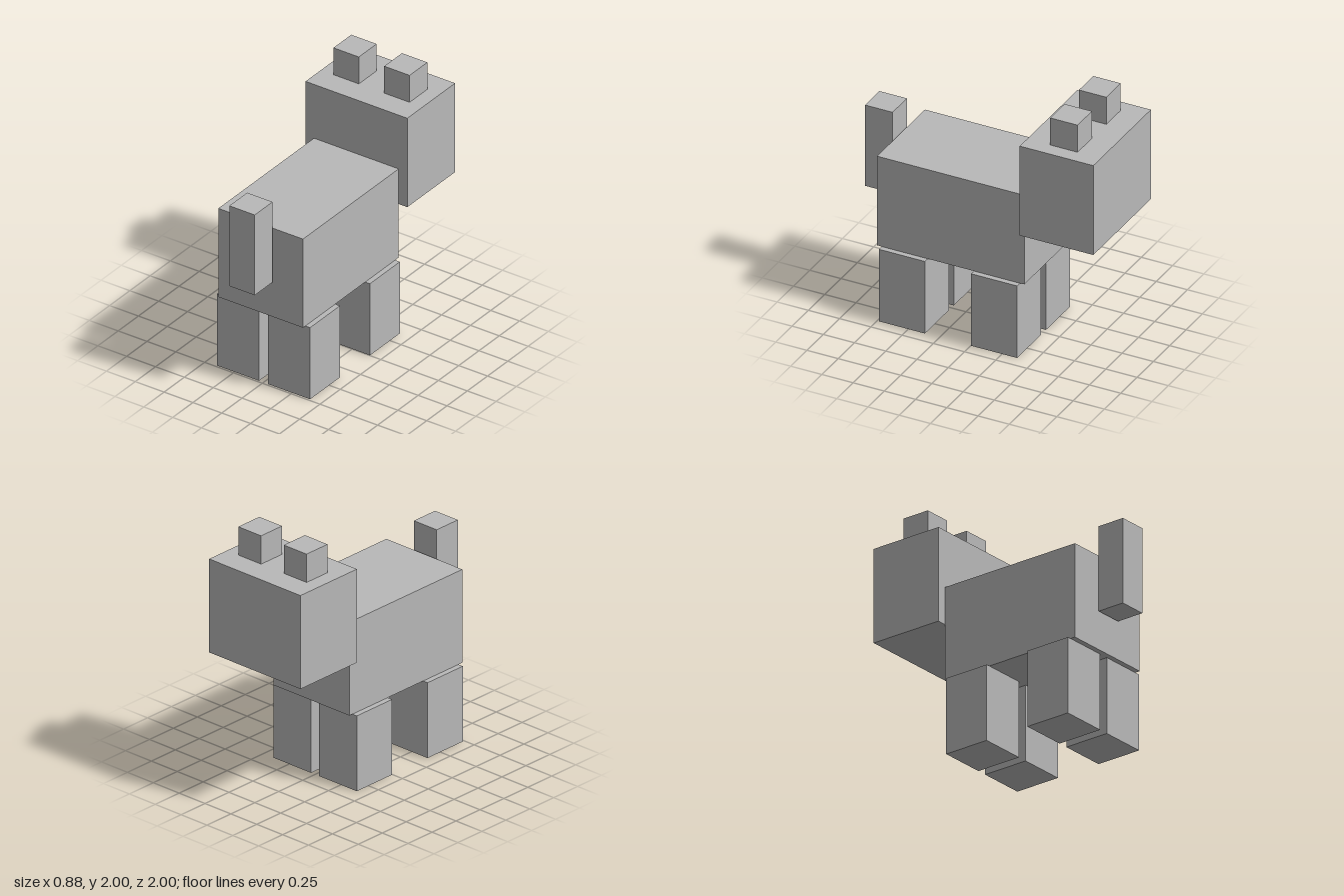
import * as THREE from 'three';

export function createModel() {
  const model = new THREE.Group();
  model.name = 'blockAnimal';
  const coat = new THREE.MeshStandardMaterial({ color: 0xb8b8b8 });
  coat.name = 'greyCoat';

  // Box given by its minimum and maximum corners
  function block(name, min, max) {
    const size = max.map((v, i) => v - min[i]);
    const mesh = new THREE.Mesh(new THREE.BoxGeometry(...size), coat);
    mesh.position.set(...max.map((v, i) => (v + min[i]) / 2));
    mesh.name = name;
    model.add(mesh);
    return mesh;
  }

  // Trunk, head and upright tail; the head points to -z
  block('body', [-0.367, 0.597, -0.409], [0.367, 1.331, 0.77]);
  block('head', [-0.441, 1.039, -1], [0.441, 1.775, -0.411]);
  block('tail', [-0.11, 0.89, 0.78], [0.11, 1.555, 1]);

  // Ears and legs, mirrored across x
  for (const side of [-1, 1]) {
    const label = side > 0 ? 'left' : 'right';
    const pair = (name, inner, outer, y0, y1, z0, z1) => {
      const x = [side * inner, side * outer].sort((a, b) => a - b);
      block(label + name, [x[0], y0, z0], [x[1], y1, z1]);
    };
    pair('Ear', 0.11, 0.33, 1.777, 2, -0.816, -0.597);
    pair('HeadEndLeg', 0.038, 0.404, 0, 0.593, -0.371, -0.003);
    pair('TailEndLeg', 0.038, 0.404, 0, 0.593, 0.367, 0.735);
  }
  return model;
}
